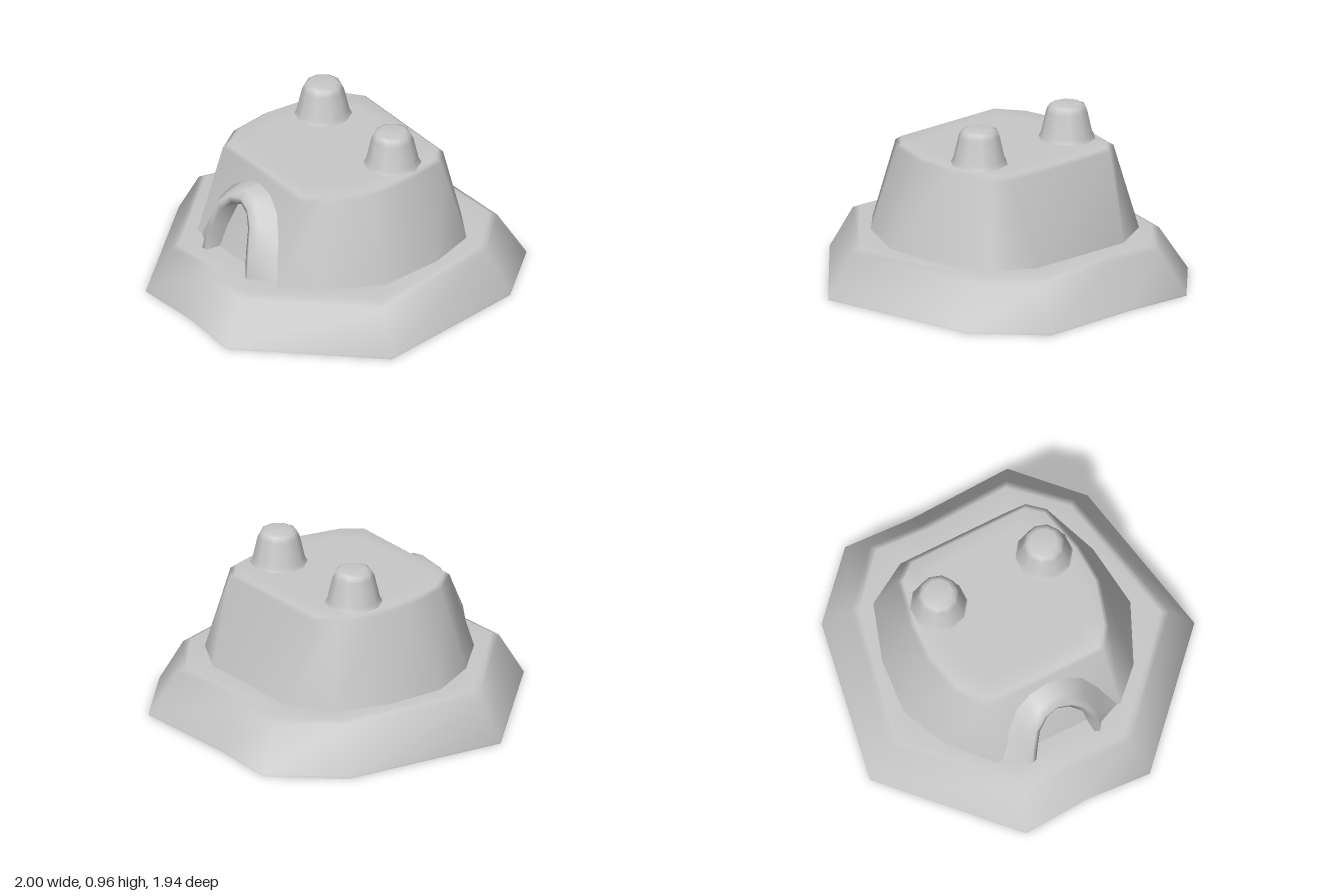
import * as THREE from 'three';

const stone = new THREE.MeshStandardMaterial({ color: 0xc8c8c8 });
stone.name = 'pale grey stone';

// Skins rows of [x, y, z] points with smooth normals; closed rows join end to start
function loft(name, rows, closed = true) {
  const n = rows[0].length;
  const index = [];
  for (let i = 0; i < rows.length - 1; i++) {
    for (let j = 0; j < (closed ? n : n - 1); j++) {
      const a = i * n + j, b = i * n + (j + 1) % n;
      index.push(a, b, b + n, a, b + n, a + n);
    }
  }
  const g = new THREE.BufferGeometry();
  g.setAttribute('position', new THREE.Float32BufferAttribute(rows.flat(2), 3));
  g.setIndex(index);
  g.computeVertexNormals();
  const mesh = new THREE.Mesh(g, stone);
  mesh.name = name;
  return mesh;
}

// Lifts a plan outline of [x, z] points to height y, scaled about the axis
const ring = (plan, y, s = 1) => plan.map(([x, z]) => [x * s, y, z * s]);

export function createModel() {
  const model = new THREE.Group();
  model.name = 'clayHut';

  // Wide skirt: sloping sides, soft rim, flat top and flat underside
  const ground = [[0.38, 0.97], [1, 0.3], [0.82, -0.63], [0.5, -0.97], [-0.1, -0.95],
    [-0.5, -0.97], [-0.82, -0.63], [-1, 0.3], [-0.38, 0.97], [0, 0.945]];
  const rim = [[0.33, 0.835], [0.865, 0.26], [0.7, -0.56], [0.42, -0.83], [-0.1, -0.81],
    [-0.42, -0.83], [-0.68, -0.55], [-0.865, 0.26], [-0.33, 0.835], [0, 0.82]];
  model.add(loft('base', [ring(ground, 0), ring(ground, 0.012, 0.995), ring(rim, 0.25),
    ring(rim, 0.27, 0.95), ring(rim, 0.27, 0.8), ring(rim, 0.27, 0)]));
  model.add(loft('underside', [ring(ground, 0, 0), ring(ground, 0)]));

  // Tapered main body with a softened top edge
  const foot = [[0.38, 0.62], [0.55, 0.45], [0.7, 0.12], [0.66, -0.25], [0.55, -0.53], [0.32, -0.66],
    [-0.32, -0.66], [-0.56, -0.52], [-0.67, -0.2], [-0.7, 0.12], [-0.58, 0.4], [-0.38, 0.62]];
  const roof = [[0.36, 0.455], [0.45, 0.35], [0.53, 0.08], [0.52, -0.15], [0.46, -0.42], [0.37, -0.5],
    [-0.36, -0.5], [-0.46, -0.42], [-0.52, -0.15], [-0.53, 0.05], [-0.48, 0.3], [-0.37, 0.455]];
  model.add(loft('body', [ring(foot, 0.265), ring(roof, 0.745), ring(roof, 0.765, 0.95),
    ring(roof, 0.765, 0.75), ring(roof, 0.765, 0)]));

  // Arched doorway: half profiles from the wall, over the crest, into the opening
  const wallZ = (y) => 0.605 - (y - 0.27) * 0.35;
  const opening = [[0.18, 0.265, 0.7], [0.165, 0.4, 0.685], [0.13, 0.53, 0.645], [0.07, 0.59, 0.61], [0, 0.61, 0.595]];
  const halves = [
    [[0.38, 0.265], [0.3, 0.45], [0.21, 0.61], [0.11, 0.68], [0, 0.7]].map(([x, y]) => [x, y, wallZ(y)]),
    [[0.24, 0.265, 0.665], [0.22, 0.43, 0.645], [0.175, 0.585, 0.61], [0.095, 0.665, 0.58], [0, 0.692, 0.565]],
    [[0.21, 0.265, 0.71], [0.195, 0.42, 0.69], [0.155, 0.56, 0.65], [0.085, 0.63, 0.62], [0, 0.655, 0.605]],
    opening,
    opening.map(([x, y]) => [x * 0.95, y, wallZ(y)]),
  ];
  const mirrored = (half) => [...half, ...half.slice(0, -1).reverse().map(([x, y, z]) => [-x, y, z])];
  model.add(loft('doorArch', halves.map(mirrored), false));

  // Two stubby chimneys with rounded tops
  const profile = [[0.165, 0.755], [0.145, 0.79], [0.115, 0.92], [0.1, 0.95], [0.075, 0.961], [0, 0.963]];
  const chimney = new THREE.LatheGeometry(profile.map(([x, y]) => new THREE.Vector2(x, y)), 10);
  for (const side of [-1, 1]) {
    const mesh = new THREE.Mesh(chimney, stone);
    mesh.name = side > 0 ? 'leftChimney' : 'rightChimney';
    mesh.position.set(side * 0.325, 0, -0.19);
    model.add(mesh);
  }
  return model;
}
